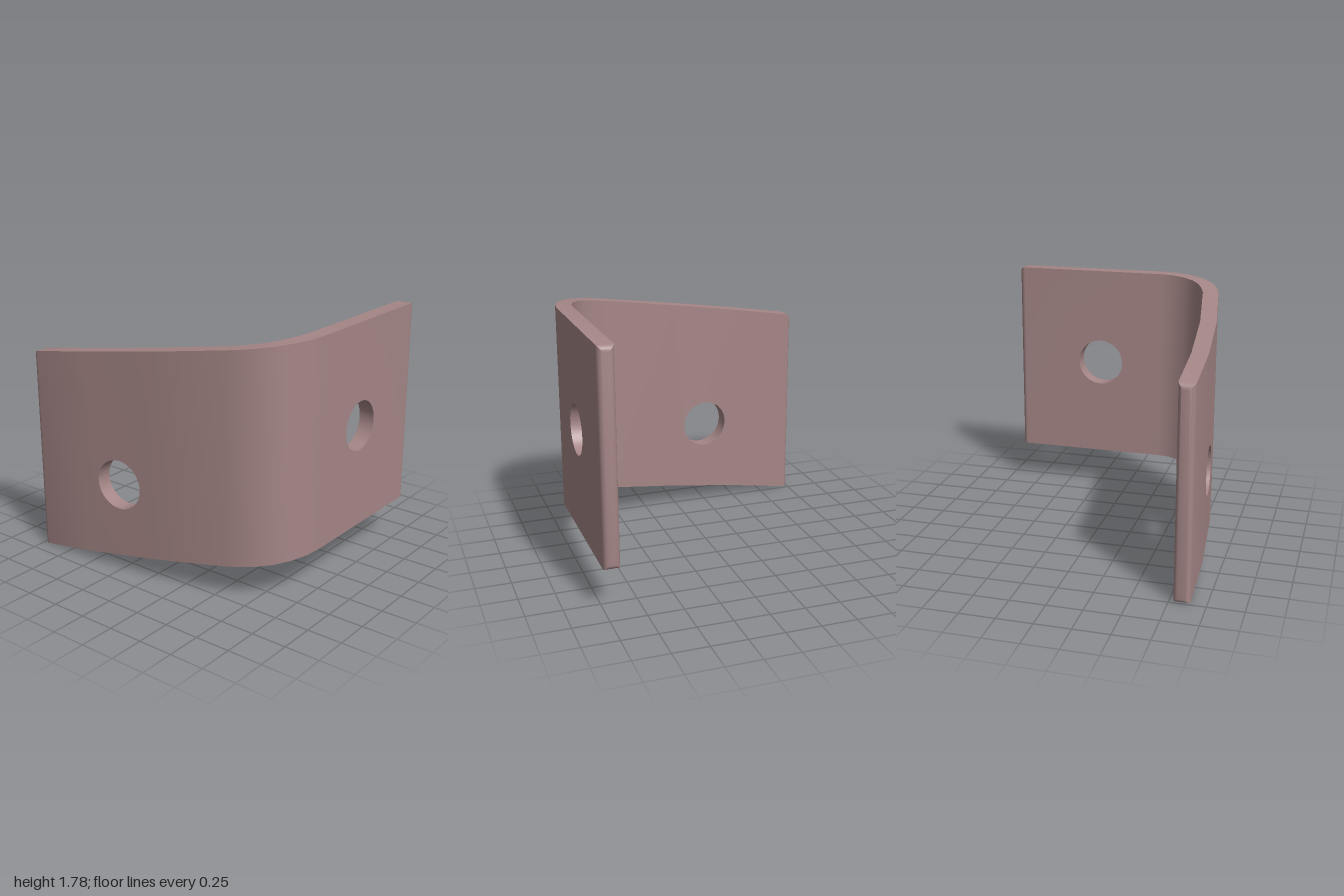
import * as THREE from 'three';
import { toCreasedNormals } from 'three/addons/utils/BufferGeometryUtils.js';

const HALF = 0.057;    // half the sheet thickness
const HEIGHT = 1.48;   // height of the sheet
const ROUND = 0.04;    // rounding of the two ends
const HOLE_R = 0.178;

// Centre line of the bent sheet seen from above, as [x, z]
const PATH = [
  [0.89, 0.943], [-0.26, 0.943], [-0.365, 0.93], [-0.47, 0.893], [-0.56, 0.835],
  [-0.625, 0.76], [-0.67, 0.67], [-0.7, 0.575], [-0.785, 0.01], [-0.828, -0.53], [-0.834, -1],
].map(([x, z]) => new THREE.Vector2(x, z));

// Stations along the sheet: extra ones at both ends shrink the section to round it
function makeStations() {
  const last = PATH.length - 1;
  const roundedEnd = (tip, next) => {
    const dir = next.clone().sub(tip).normalize();
    return [0, 1, 2, 3, 4].map((k) => {
      const a = (k / 4) * Math.PI / 2;
      return {
        p: tip.clone().addScaledVector(dir, ROUND * (1 - Math.cos(a))),
        inset: ROUND * (1 - Math.sin(a)),
      };
    });
  };
  const list = [
    ...roundedEnd(PATH[0], PATH[1]),
    ...PATH.slice(1, last).map((p) => ({ p, inset: 0 })),
    ...roundedEnd(PATH[last], PATH[last - 1]).reverse(),
  ];
  list.forEach((s, i) => {
    const normal = (a, b) => new THREE.Vector2(b.p.y - a.p.y, a.p.x - b.p.x).normalize();
    const n0 = normal(list[Math.max(i - 1, 0)], list[Math.max(i, 1)]);
    const n1 = normal(list[Math.min(i, list.length - 2)], list[Math.min(i + 1, list.length - 1)]);
    const mid = n0.clone().add(n1).normalize();
    s.offset = mid.multiplyScalar((HALF - s.inset) / mid.dot(n1));
    // the sheet slopes down towards the back
    const base = 0.305 * (s.p.y + 1) / 1.943;
    s.bottom = base + s.inset;
    s.top = base + HEIGHT - s.inset;
  });
  return list;
}

function bracketGeometry() {
  const pos = [];
  const tri = (...pts) => pts.forEach((p) => pos.push(p.x, p.y, p.z));
  const quad = (a, b, c, d) => { tri(a, b, c); tri(a, c, d); };
  const at = (s, y, side) => new THREE.Vector3(s.p.x + side * s.offset.x, y, s.p.y + side * s.offset.y);
  const stations = makeStations();

  for (let i = 0; i < stations.length - 1; i++) {
    const s0 = stations[i], s1 = stations[i + 1];
    const len = s0.p.distanceTo(s1.p);
    const map = (q, side) => at(s0, q.y, side).lerp(at(s1, q.y, side), q.x / len);

    // panel outline, with a hole in the front leg and in the side leg
    const outline = [
      new THREE.Vector2(0, s0.bottom), new THREE.Vector2(len, s1.bottom),
      new THREE.Vector2(len, s1.top), new THREE.Vector2(0, s0.top),
    ];
    let centre = null;
    if (s1.p === PATH[1]) centre = new THREE.Vector2(s0.p.x - 0.22, 1.05);
    if (s1.p === PATH[9]) centre = new THREE.Vector2(len * 0.485, 0.65);
    const hole = [];
    for (let k = 0; centre && k < 48; k++) {
      const a = -(k / 48) * Math.PI * 2;
      hole.push(new THREE.Vector2(centre.x + HOLE_R * Math.cos(a), centre.y + HOLE_R * Math.sin(a)));
    }

    // inner and outer faces
    const flat = [...outline, ...hole];
    for (const [a, b, c] of THREE.ShapeUtils.triangulateShape(outline, centre ? [hole] : [])) {
      tri(map(flat[a], -1), map(flat[b], -1), map(flat[c], -1));
      tri(map(flat[a], 1), map(flat[c], 1), map(flat[b], 1));
    }
    // hole wall
    hole.forEach((q, k) => {
      const r = hole[(k + 1) % hole.length];
      quad(map(q, 1), map(r, 1), map(r, -1), map(q, -1));
    });
    // bottom and top edges
    quad(at(s0, s0.bottom, 1), at(s1, s1.bottom, 1), at(s1, s1.bottom, -1), at(s0, s0.bottom, -1));
    quad(at(s0, s0.top, -1), at(s1, s1.top, -1), at(s1, s1.top, 1), at(s0, s0.top, 1));
  }

  // end caps
  const cap = (s, dir) => quad(at(s, s.bottom, dir), at(s, s.bottom, -dir), at(s, s.top, -dir), at(s, s.top, dir));
  cap(stations[0], 1);
  cap(stations[stations.length - 1], -1);

  const geo = new THREE.BufferGeometry();
  geo.setAttribute('position', new THREE.Float32BufferAttribute(pos, 3));
  return toCreasedNormals(geo, 0.6);
}

export function createModel() {
  const group = new THREE.Group();
  group.name = 'bentBracket';
  const plate = new THREE.Mesh(bracketGeometry(), new THREE.MeshStandardMaterial({ color: 0xa58686 }));
  plate.name = 'bentPlate';
  group.add(plate);
  return group;
}
